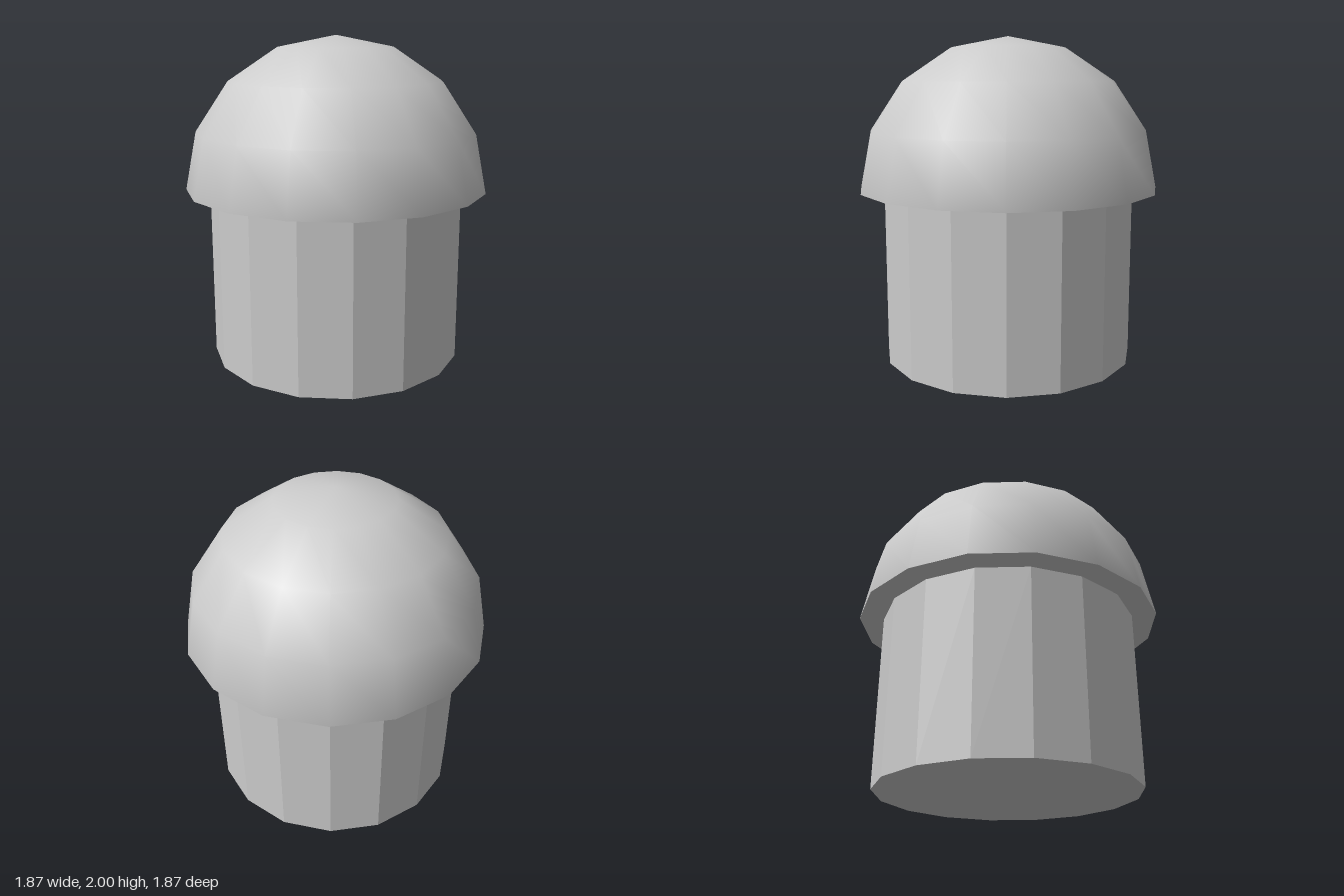
import * as THREE from 'three';

const SIDES = 16;
const DOME_RADIUS = 0.935;
const BODY_RADIUS = 0.787;
const BODY_HEIGHT = 1.065;

export function createModel() {
  const model = new THREE.Group();
  const smooth = new THREE.MeshStandardMaterial({ color: 0xcccccc });
  const faceted = new THREE.MeshStandardMaterial({ color: 0xcccccc, flatShading: true });

  const add = (name, geometry, material, y) => {
    const mesh = new THREE.Mesh(geometry, material);
    mesh.name = name;
    mesh.position.y = y;
    model.add(mesh);
    return mesh;
  };

  // Faceted cylindrical body
  add('body', new THREE.CylinderGeometry(BODY_RADIUS, BODY_RADIUS, BODY_HEIGHT, SIDES), faceted, BODY_HEIGHT / 2);

  // Smooth-shaded half-sphere cap
  add('dome', new THREE.SphereGeometry(DOME_RADIUS, SIDES, 4, 0, Math.PI * 2, 0, Math.PI / 2), smooth, BODY_HEIGHT);

  // Flat underside closing the dome
  add('domeUnderside', new THREE.CircleGeometry(DOME_RADIUS, SIDES).rotateX(Math.PI / 2), faceted, BODY_HEIGHT);

  return model;
}
